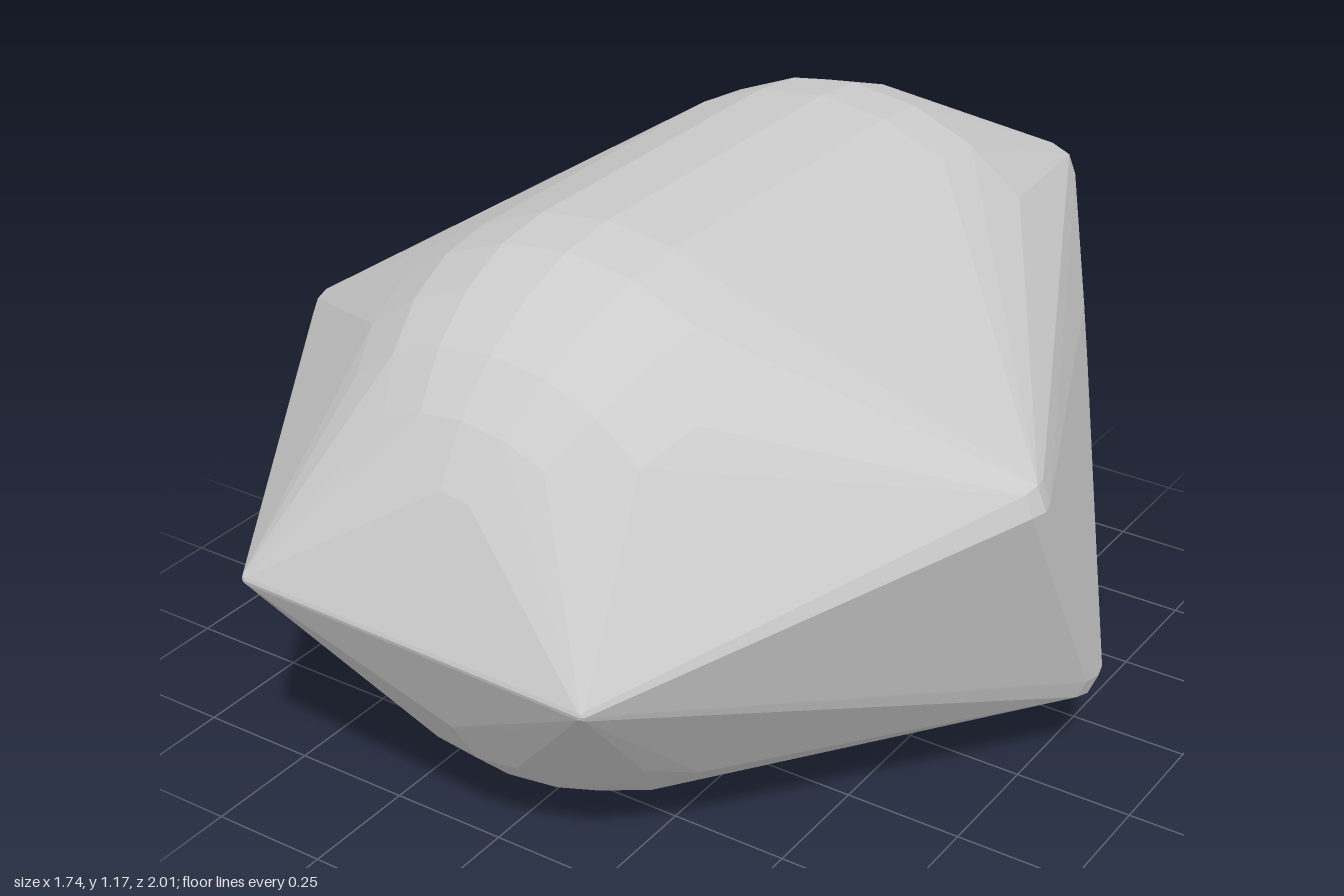
import * as THREE from 'three';
import { ConvexGeometry } from 'three/addons/geometries/ConvexGeometry.js';

// Points of a ball whose poles lie on the z axis
function ball(x, y, z, r, around, along) {
  const points = [];
  for (let j = 0; j <= along; j++) {
    const polar = (j / along) * Math.PI;
    const ring = j === 0 || j === along ? 1 : around;
    for (let i = 0; i < ring; i++) {
      const a = (i / ring) * Math.PI * 2;
      points.push(new THREE.Vector3(
        x + r * Math.sin(polar) * Math.cos(a),
        y + r * Math.sin(polar) * Math.sin(a),
        z + r * Math.cos(polar)
      ));
    }
  }
  return points;
}

export function createModel() {
  const group = new THREE.Group();
  group.name = 'boulder';

  // Rounded core: a capsule lying along z
  const points = [
    ...ball(0, 0.586, 0.345, 0.586, 24, 14),
    ...ball(0, 0.586, -0.42, 0.586, 24, 14),
  ];

  // Small rounded corners: x, y, z, radius
  const corners = [
    // left side ridge
    [0.8, 0.75, 0.2, 0.07], [0.8, 0.235, -0.09, 0.07],
    // right side ridge
    [-0.8, 0.7, 0.2, 0.07], [-0.8, 0.17, -0.1, 0.07],
    // back face
    [0.27, 0.88, -0.93, 0.07], [0.27, 0.345, -0.93, 0.07],
    [-0.235, 0.88, -0.93, 0.07], [-0.235, 0.345, -0.93, 0.07],
    // front edge
    [0.368, 0.55, 0.957, 0.016], [-0.375, 0.59, 0.984, 0.016],
  ];
  for (const [x, y, z, r] of corners) points.push(...ball(x, y, z, r, 8, 6));

  // One convex skin stretched over the core and corners
  const rock = new THREE.Mesh(
    new ConvexGeometry(points),
    new THREE.MeshStandardMaterial({ color: 0xcccccc, flatShading: true })
  );
  rock.name = 'rock';
  group.add(rock);
  return group;
}
